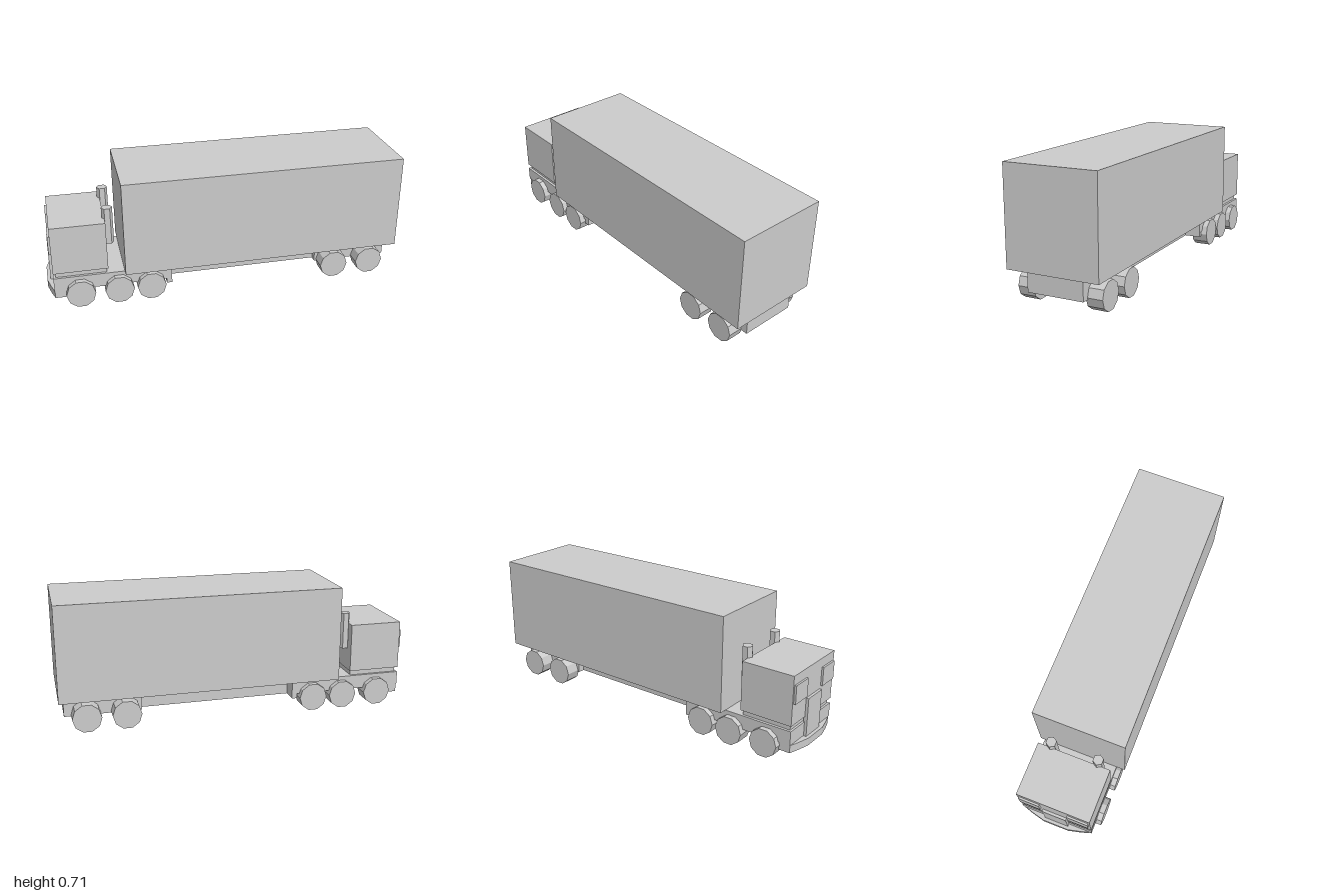
import * as THREE from 'three';

const material = new THREE.MeshStandardMaterial({ color: 0xcccccc, flatShading: true });

export function createModel() {
  const truck = new THREE.Group();
  truck.name = 'articulatedTruck';

  function add(name, geometry, parent = truck) {
    const mesh = new THREE.Mesh(geometry, material);
    mesh.name = name;
    parent.add(mesh);
    return mesh;
  }
  // Box given by its limits on each axis
  function box(name, [x0, x1], [y0, y1], [z0, z1], parent) {
    const mesh = add(name, new THREE.BoxGeometry(x1 - x0, y1 - y0, z1 - z0), parent);
    mesh.position.set((x0 + x1) / 2, (y0 + y1) / 2, (z0 + z1) / 2);
    return mesh;
  }
  const group = (name) => {
    const g = new THREE.Group();
    g.name = name;
    truck.add(g);
    return g;
  };

  // Trailer: cargo box, narrow spine and the wider block over the rear axles
  const trailer = group('trailer');
  box('cargoBox', [-0.578, 1], [0.178, 0.715], [-0.26, 0.26], trailer);
  box('spine', [-0.32, 0.545], [0.068, 0.178], [-0.12, 0.12], trailer);
  box('rearFrame', [0.545, 0.972], [0.067, 0.178], [-0.158, 0.158], trailer);

  // Tractor chassis
  const chassis = group('tractorChassis');
  box('deck', [-0.967, -0.315], [0.096, 0.175], [-0.21, 0.21], chassis);
  box('underframe', [-0.6, -0.315], [0.068, 0.096], [-0.15, 0.15], chassis);
  box('rearSkirt', [-0.345, -0.315], [0.068, 0.096], [-0.21, 0.21], chassis);

  // Cab on a recessed neck, with windscreen panes and a raised centre panel
  const cab = group('cab');
  box('cabNeck', [-0.955, -0.675], [0.175, 0.205], [-0.195, 0.195], cab);
  box('cabBody', [-0.967, -0.667], [0.204, 0.48], [-0.21, 0.21], cab);
  box('centrePanel', [-0.982, -0.96], [0.085, 0.31], [-0.07, 0.07], cab);
  for (const s of [-1, 1]) {
    const pane = box('windscreenPane', [-0.978, -0.96], [0.325, 0.428], [-0.06, 0.06], cab);
    pane.position.z = s * 0.14;

    // Six-sided exhaust stack behind the cab
    const stack = add('exhaustStack', new THREE.CylinderGeometry(0.03, 0.03, 0.21, 6, 1, false, Math.PI / 2), cab);
    stack.position.set(-0.65, 0.435, s * 0.135);
  }

  // Bowed front bumper, outlined in plan and extruded upward
  const outline = [
    [-0.9, -0.205], [-0.965, -0.205], [-0.982, -0.15], [-1, -0.075],
    [-1, 0.075], [-0.982, 0.15], [-0.965, 0.205], [-0.9, 0.205],
  ].map(([x, z]) => new THREE.Vector2(x, -z));
  const bumperGeometry = new THREE.ExtrudeGeometry(new THREE.Shape(outline), { depth: 0.043, bevelEnabled: false });
  bumperGeometry.rotateX(-Math.PI / 2);
  add('frontBumper', bumperGeometry).position.y = 0.051;

  // Ten-sided wheels, standing on a flat
  const wheelGeometry = new THREE.CylinderGeometry(0.0805, 0.0805, 0.092, 10, 1, false, Math.PI / 2);
  wheelGeometry.rotateX(Math.PI / 2);
  for (const x of [-0.825, -0.612, -0.433, 0.636, 0.853]) {
    for (const s of [-1, 1]) add('wheel', wheelGeometry).position.set(x, 0.0766, s * 0.195);
  }

  return truck;
}
